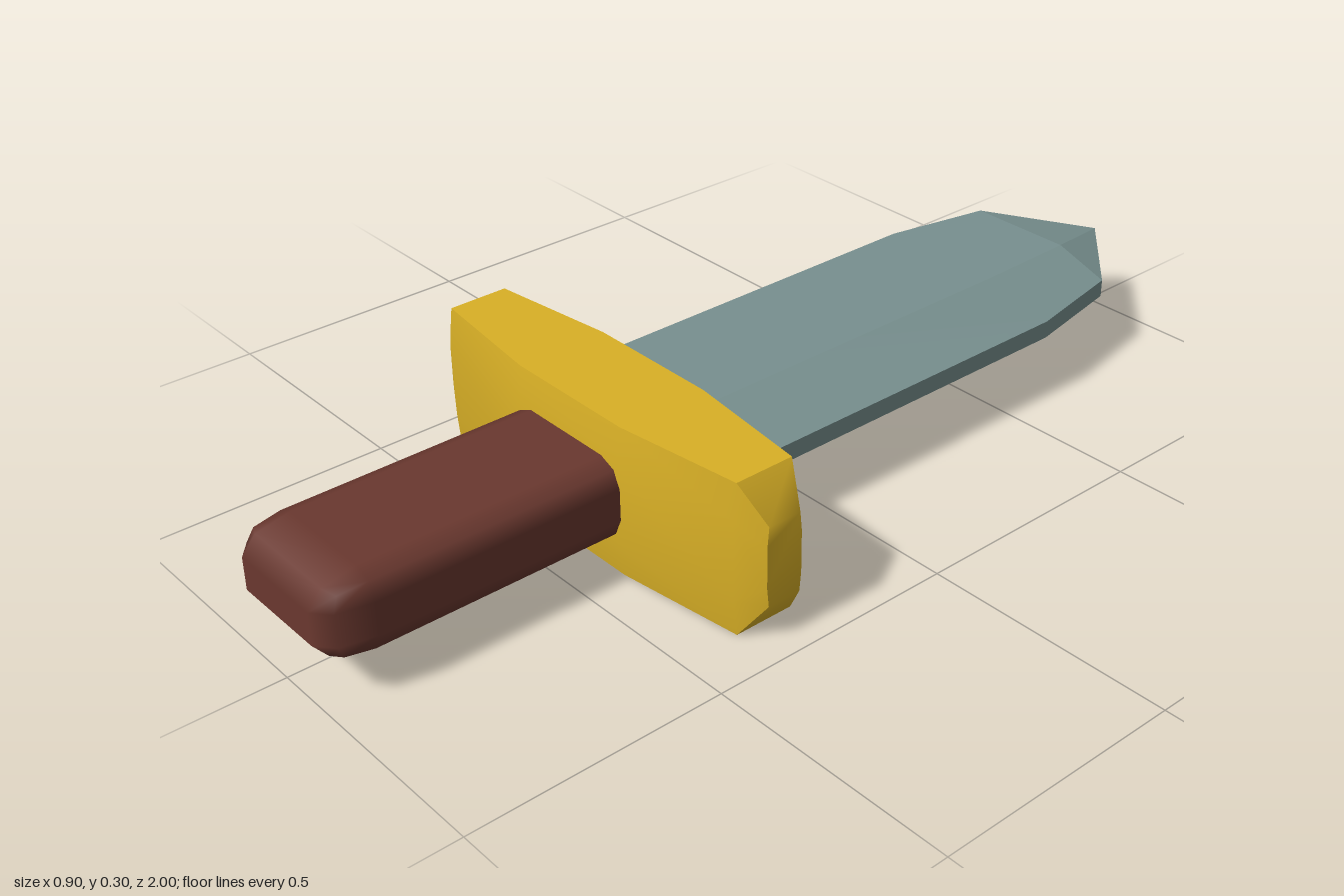
import * as THREE from 'three';
import { toCreasedNormals } from 'three/addons/utils/BufferGeometryUtils.js';
import { RoundedBoxGeometry } from 'three/addons/geometries/RoundedBoxGeometry.js';

const MID_Y = 0.153;

// Skin a list of equal-length rings, counterclockwise about the loft direction, with capped ends
function loft(rings, crease) {
  const n = rings[0].length, last = (rings.length - 1) * n, index = [];
  for (let i = 0; i < rings.length - 1; i++) {
    for (let j = 0; j < n; j++) {
      const a = i * n + j, b = i * n + (j + 1) % n;
      index.push(a, b, b + n, a, b + n, a + n);
    }
  }
  for (let j = 1; j < n - 1; j++) {
    index.push(0, j + 1, j, last, last + j, last + j + 1);
  }
  const geometry = new THREE.BufferGeometry();
  geometry.setAttribute('position', new THREE.Float32BufferAttribute(rings.flat(2), 3));
  geometry.setIndex(index);
  return toCreasedNormals(geometry, crease);
}

// Single-edged blade: thick flat spine at -x, bevel down to a thin edge at +x
function bladeGeometry() {
  const thin = 0.018;
  const stations = [ // z, half width, bevel line x, half thickness
    [-1, 0, 0, thin],
    [-0.82, 0.17, 0.055, 0.056],
    [-0.6, 0.213, 0.06, 0.056],
    [0.26, 0.213, 0.06, 0.056],
  ];
  const rings = stations.map(([z, w, r, h]) =>
    [[-w, -h], [r, -h], [w, -thin], [w, thin], [r, h], [-w, h]].map(([x, y]) => [x, y, z]));
  return loft(rings, 0.1);
}

// Guard: octagonal bar tapering towards both ends
function guardGeometry() {
  const half = [ // x, half height, half depth
    [0.45, 0.079, 0.038],
    [0.4, 0.151, 0.067],
    [0.14, 0.151, 0.103],
  ];
  const stations = [...half.map(([x, h, d]) => [-x, h, d]), ...half.slice().reverse()];
  const rings = stations.map(([x, h, d]) => {
    const m = h * 0.52, t = d * 0.9;
    return [[h, -t], [h, t], [m, d], [-m, d], [-h, t], [-h, -t], [-m, -d], [m, -d]]
      .map(([y, z]) => [x, y, z]);
  });
  return loft(rings, 0.75);
}

// Grip: rounded bar, stretched so the end rounding is longer than the side rounding
function gripGeometry() {
  return new RoundedBoxGeometry(0.294, 0.158, 0.35, 1, 0.047).scale(1, 1, 2);
}

export function createModel() {
  const steel = new THREE.MeshStandardMaterial({ color: 0x78908f });
  const gold = new THREE.MeshStandardMaterial({ color: 0xd9b026 });
  const leather = new THREE.MeshStandardMaterial({ color: 0x6a382f });
  steel.name = 'steel';
  gold.name = 'gold';
  leather.name = 'leather';

  const group = new THREE.Group();
  group.name = 'dagger';
  const add = (name, geometry, material, y, z) => {
    const mesh = new THREE.Mesh(geometry, material);
    mesh.name = name;
    mesh.position.set(0, y, z);
    group.add(mesh);
  };
  add('blade', bladeGeometry(), steel, MID_Y, 0);
  add('guard', guardGeometry(), gold, 0.151, 0.318);
  add('grip', gripGeometry(), leather, MID_Y, 0.65);
  return group;
}
